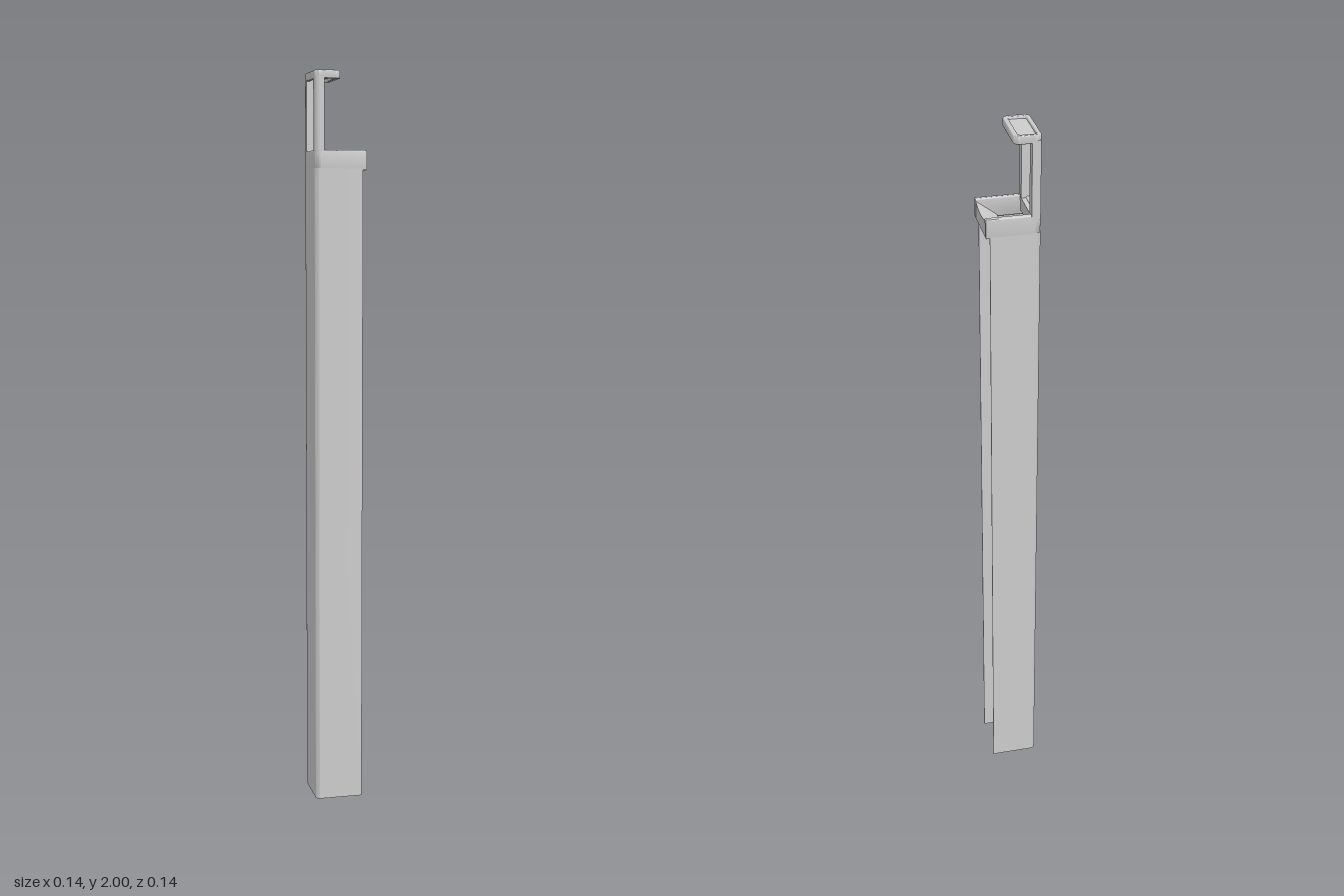
import * as THREE from 'three';
import { toCreasedNormals } from 'three/addons/utils/BufferGeometryUtils.js';

const HALF = 0.07;
const material = new THREE.MeshStandardMaterial({ color: 0xcccccc, side: THREE.DoubleSide });

// Rounded rectangle in plan
function roundedRect(path, x0, x1, halfZ, r) {
  path.moveTo(x0 + r, -halfZ);
  path.lineTo(x1 - r, -halfZ);
  path.absarc(x1 - r, -halfZ + r, r, -Math.PI / 2, 0);
  path.absarc(x1 - r, halfZ - r, r, 0, Math.PI / 2);
  path.absarc(x0 + r, halfZ - r, r, Math.PI / 2, Math.PI);
  path.absarc(x0 + r, -halfZ + r, r, Math.PI, Math.PI * 1.5);
  return path;
}

// U-shaped plan, open towards +x
function channel(t, xEnd, r) {
  const s = new THREE.Shape();
  const ri = Math.max(r - t, 0.002);
  const i = HALF - t;
  s.moveTo(xEnd, -HALF);
  s.lineTo(xEnd, -i);
  s.lineTo(-i + ri, -i);
  s.absarc(-i + ri, -i + ri, ri, Math.PI * 1.5, Math.PI, true);
  s.absarc(-i + ri, i - ri, ri, Math.PI, Math.PI / 2, true);
  s.lineTo(xEnd, i);
  s.lineTo(xEnd, HALF);
  s.absarc(-HALF + r, HALF - r, r, Math.PI / 2, Math.PI);
  s.absarc(-HALF + r, -HALF + r, r, Math.PI, Math.PI * 1.5);
  return s;
}

// Extrude a plan upwards from y0 to y1, optionally with rounded edges
function rise(shape, y0, y1, bevel = 0) {
  const g = new THREE.ExtrudeGeometry(shape, {
    depth: y1 - y0 - 2 * bevel, curveSegments: 8,
    bevelEnabled: bevel > 0, bevelSize: bevel, bevelThickness: bevel,
    bevelOffset: -bevel, bevelSegments: 4,
  });
  g.rotateX(-Math.PI / 2);
  g.translate(0, y0 + bevel, 0);
  return toCreasedNormals(g, 0.7);
}

export function createModel() {
  const model = new THREE.Group();
  const add = (name, geometry, parent = model) => {
    const mesh = new THREE.Mesh(geometry, material);
    mesh.name = name;
    parent.add(mesh);
    return mesh;
  };

  // Long thin-walled body, open on one side and at the bottom
  add('channelBody', rise(channel(0.003, 0.06, 0.012), 0, 1.745));

  // Thicker rim around the top of the body
  add('collar', rise(channel(0.013, HALF, 0.015), 1.74, 1.793, 0.004));

  // Scooped lip sloping down into the collar
  const lip = new THREE.BoxGeometry(1, 1, 1, 8, 1, 16);
  const p = lip.attributes.position;
  for (let i = 0; i < p.count; i++) {
    const u = p.getX(i) + 0.5;
    const v = p.getZ(i) * 2;
    const edge = 1.788 - 0.012 * (1 - v * v);
    const top = THREE.MathUtils.lerp(1.746, edge, u);
    p.setXYZ(i, 0.015 + 0.054 * u, p.getY(i) > 0 ? top : 1.74, v * 0.06);
  }
  lip.computeVertexNormals();
  add('scoopedLip', lip);

  // Handle: two posts, a lower crossbar and a recessed grip
  const handle = new THREE.Group();
  handle.name = 'handle';
  model.add(handle);
  for (const side of [1, -1]) {
    const post = new THREE.Shape();
    const r = 0.012;
    post.moveTo(-0.045, 0.045 * side);
    post.lineTo(-0.045, HALF * side);
    post.lineTo(-HALF + r, HALF * side);
    post.quadraticCurveTo(-HALF, HALF * side, -HALF, (HALF - r) * side);
    post.lineTo(-HALF, 0.045 * side);
    add(side > 0 ? 'frontPost' : 'backPost', rise(post, 1.78, 1.985), handle);
  }
  const bar = add('lowerCrossbar', new THREE.BoxGeometry(0.024, 0.035, 0.1), handle);
  bar.position.set(-0.057, 1.772, 0);

  const rim = roundedRect(new THREE.Shape(), -HALF, 0, HALF, 0.016);
  rim.holes.push(roundedRect(new THREE.Path(), -0.059, -0.013, 0.059, 0.008));
  add('gripRim', rise(rim, 1.978, 2, 0.003), handle);
  add('gripPanel', rise(roundedRect(new THREE.Shape(), -0.062, -0.01, 0.062, 0.008), 1.986, 1.993), handle);

  return model;
}
